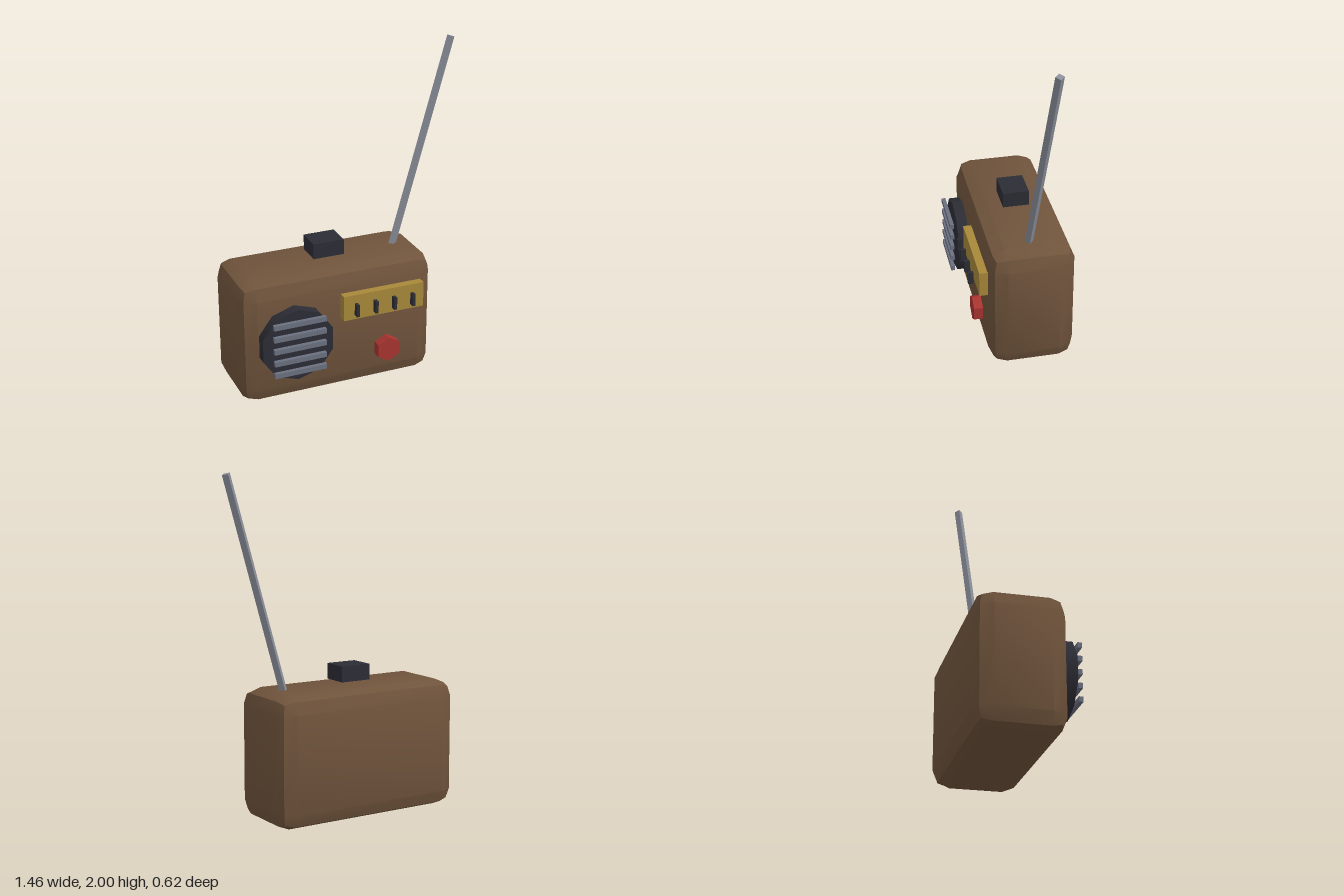
import * as THREE from 'three';
import { RoundedBoxGeometry } from 'three/addons/geometries/RoundedBoxGeometry.js';
import { toCreasedNormals } from 'three/addons/utils/BufferGeometryUtils.js';

function material(name, color) {
  const m = new THREE.MeshStandardMaterial({ color });
  m.name = name;
  return m;
}

export function createModel() {
  const radio = new THREE.Group();
  radio.name = 'radio';

  const brown = material('brown', 0x70543c);
  const dark = material('charcoal', 0x2c2c35);
  const steel = material('grille grey', 0x6b7080);
  const silver = material('antenna silver', 0x8a8f9a);
  const gold = material('dial gold', 0xa8883a);
  const red = material('knob red', 0xa83430);

  function add(name, geometry, mat, x, y, z, parent = radio) {
    const mesh = new THREE.Mesh(geometry, mat);
    mesh.name = name;
    mesh.position.set(x, y, z);
    parent.add(mesh);
    return mesh;
  }

  // Cylinder facing the front, with one corner pointing up
  function disc(radius, depth, sides) {
    return new THREE.CylinderGeometry(radius, radius, depth, sides)
      .rotateX(Math.PI / 2)
      .rotateZ(Math.PI);
  }

  // Case with coarse rounded edges
  const caseShape = toCreasedNormals(new RoundedBoxGeometry(1.215, 0.77, 0.51, 1, 0.1), Math.PI / 6);
  add('case', caseShape, brown, -0.1275, 0.385, -0.055);

  // Speaker and its grille bars
  const speaker = new THREE.Group();
  speaker.name = 'speaker';
  radio.add(speaker);
  add('speakerDisc', disc(0.225, 0.09, 10), dark, -0.415, 0.39, 0.22, speaker);
  for (let i = 0; i < 5; i++) {
    add('grilleBar', new THREE.BoxGeometry(0.318, 0.03, 0.024), steel, -0.415, 0.238 + i * 0.077, 0.296, speaker);
  }

  // Tuning dial with its marks
  const dial = new THREE.Group();
  dial.name = 'dial';
  radio.add(dial);
  add('dialPlate', new THREE.BoxGeometry(0.51, 0.155, 0.06), gold, 0.13, 0.552, 0.219, dial);
  for (let i = 0; i < 4; i++) {
    add('dialMark', new THREE.BoxGeometry(0.019, 0.076, 0.032), dark, -0.056 + i * 0.1185, 0.55, 0.284, dial);
  }

  // Tuning knob
  add('knob', toCreasedNormals(disc(0.078, 0.07, 6), 0.7), red, 0.162, 0.23, 0.219);

  // Block on the top
  add('topBlock', new THREE.BoxGeometry(0.19, 0.093, 0.157), dark, -0.125, 0.838, -0.055);

  // Leaning square antenna
  const foot = new THREE.Vector3(0.313, 0.745, -0.053);
  const tip = new THREE.Vector3(0.705, 1.992, -0.116);
  const lean = tip.clone().sub(foot);
  const rod = toCreasedNormals(new THREE.CylinderGeometry(0.025, 0.025, lean.length(), 4), 0.7);
  const antenna = add('antenna', rod, silver, 0, 0, 0);
  antenna.position.copy(foot).add(tip).multiplyScalar(0.5);
  antenna.quaternion.setFromUnitVectors(new THREE.Vector3(0, 1, 0), lean.normalize());

  return radio;
}
